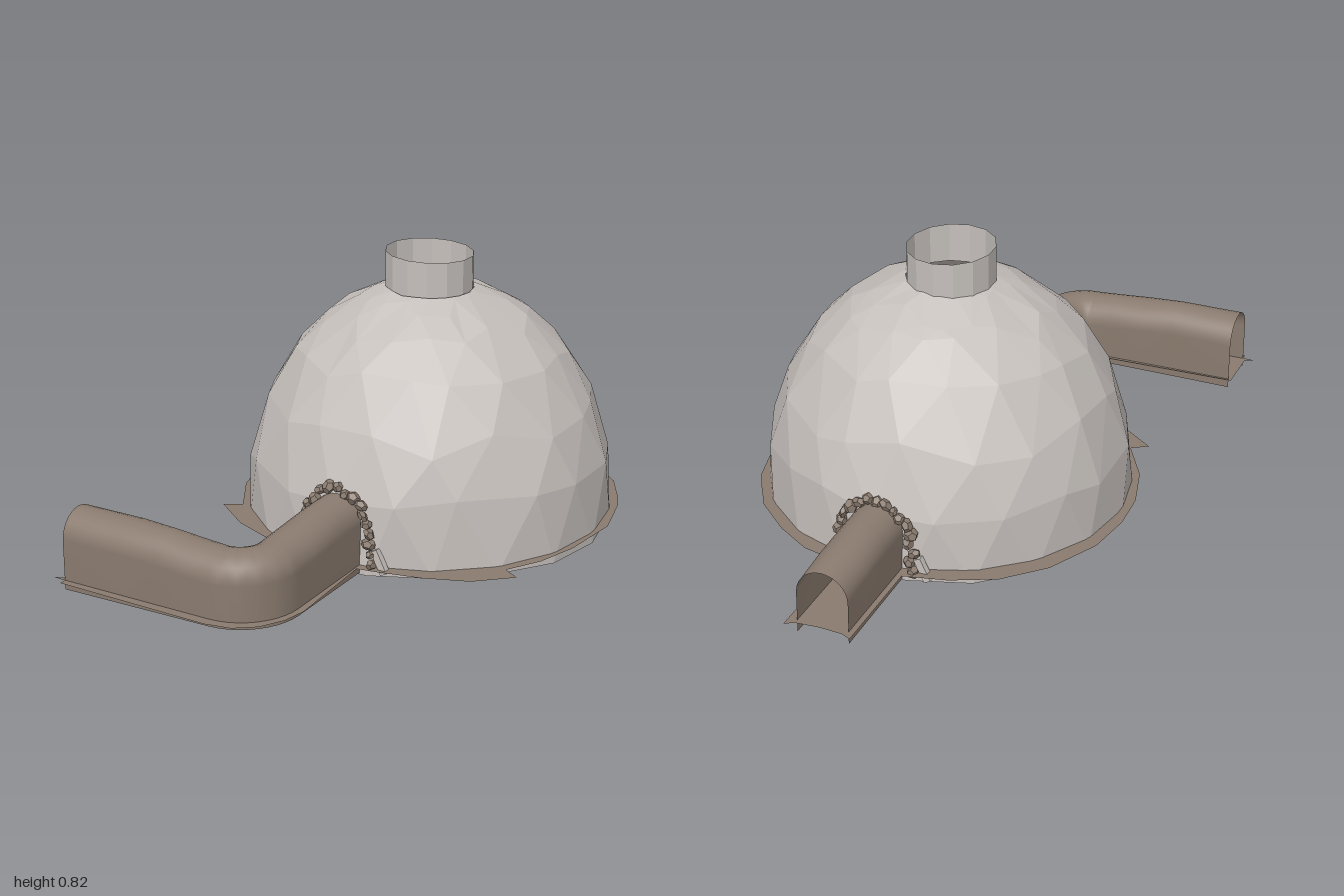
import * as THREE from 'three';

const CX = 0.03, CZ = -0.08;
const stone = new THREE.MeshStandardMaterial({ color: 0xc6c0bc, side: THREE.DoubleSide });
stone.name = 'pale stone';
const earth = new THREE.MeshStandardMaterial({ color: 0x8a7b6f, side: THREE.DoubleSide });
earth.name = 'brown earth';

// Seeded noise in -1..1
let seed = 7;
const rnd = () => {
  seed = (seed * 16807) % 2147483647;
  return (seed / 2147483647) * 2 - 1;
};

function add(group, name, geometry, material) {
  const mesh = new THREE.Mesh(geometry, material);
  mesh.name = name;
  group.add(mesh);
  return mesh;
}

// Joins equal-length rows of points into a surface
function skin(rows, closed, flat) {
  const n = rows[0].length, index = [];
  for (let i = 0; i < rows.length - 1; i++) {
    for (let j = 0; j < (closed ? n : n - 1); j++) {
      const k = (j + 1) % n;
      const a = i * n + j, b = i * n + k, c = a + n, d = b + n;
      if (i % 2) index.push(a, c, d, a, d, b);
      else index.push(a, c, b, b, c, d);
    }
  }
  let g = new THREE.BufferGeometry();
  g.setAttribute('position', new THREE.Float32BufferAttribute(rows.flat(2), 3));
  g.setIndex(index);
  if (flat) g = g.toNonIndexed();
  g.computeVertexNormals();
  return g;
}

// Dome profile: [radius, height]
const profile = [[0.55, 0.012], [0.542, 0.22], [0.49, 0.385], [0.405, 0.53], [0.295, 0.635], [0.2, 0.69], [0.13, 0.716]];

function domeRadius(y) {
  for (let i = 0; i < profile.length - 1; i++) {
    const [r0, y0] = profile[i], [r1, y1] = profile[i + 1];
    if (y <= y1) return r0 + (r1 - r0) * Math.max(0, (y - y0) / (y1 - y0));
  }
  return 0.13;
}

function domeGeometry() {
  const n = 18, step = (Math.PI * 2) / n;
  const rows = profile.map(([r, y], i) => {
    const edge = i === 0 || i === profile.length - 1;
    return Array.from({ length: n }, (_, j) => {
      const a = -(j + (i % 2) * 0.5 + (edge ? 0 : rnd() * 0.25)) * step;
      const h = y + rnd() * (i === 0 ? 0.008 : edge ? 0.003 : 0.028);
      const rad = edge ? r : domeRadius(h) * (1 + rnd() * 0.01);
      return [CX + Math.cos(a) * rad, h, CZ + Math.sin(a) * rad];
    });
  });
  return skin(rows, true, true);
}

// Arched tunnel swept along stations [x, z, directionAngle, topHeight]
function tunnelGeometry(stations) {
  const w = 0.078, rows = stations.map(([x, z, a, top]) => {
    const section = [[-w, 0.015]];
    for (let i = 0; i <= 14; i++) {
      const t = Math.PI * (1 - i / 14);
      section.push([Math.cos(t) * w, top - w + Math.sin(t) * w]);
    }
    section.push([w, 0.015]);
    return section.map(([s, y]) => [x + s * Math.cos(a), y, z - s * Math.sin(a)]);
  });
  return skin(rows, false, false);
}

function frontTunnel() {
  const s = [[0.025, 0.43, 0, 0.24], [0.025, 0.55, 0, 0.238], [0.025, 0.7, 0, 0.228]];
  for (let i = 0; i <= 10; i++) {
    const a = -(Math.PI / 2) * (i / 10);
    s.push([-0.075 + 0.1 * Math.cos(a), 0.79 - 0.1 * Math.sin(a), a, 0.222 - 0.003 * (i / 10)]);
  }
  for (const [x, top] of [[-0.15, 0.225], [-0.25, 0.234], [-0.36, 0.241], [-0.56, 0.242]]) s.push([x, 0.89, -Math.PI / 2, top]);
  return tunnelGeometry(s);
}

// Thin ground sheet under dome and tunnels
function groundGeometry() {
  const pts = [
    [-0.07, -1], [-0.04, -0.985], [0.03, -0.98], [0.1, -0.985], [0.13, -1], [0.13, -0.66],
    [0.25, -0.63], [0.36, -0.56], [0.47, -0.46], [0.53, -0.36], [0.56, -0.3], [0.6, -0.14], [0.58, 0.05],
    [0.54, 0.18], [0.48, 0.28], [0.53, 0.31], [0.43, 0.4], [0.3, 0.45], [0.17, 0.48], [0.11, 0.49],
    [0.125, 0.8], [0.11, 0.87], [0.07, 0.94], [0.01, 0.985], [-0.07, 1], [-0.56, 0.99], [-0.56, 0.97],
    [-0.6, 0.967], [-0.57, 0.955], [-0.57, 0.805], [-0.08, 0.8], [-0.062, 0.78], [-0.062, 0.48],
    [-0.2, 0.45], [-0.35, 0.39], [-0.47, 0.3], [-0.42, 0.27], [-0.5, 0.13], [-0.54, -0.02], [-0.545, -0.15],
    [-0.52, -0.3], [-0.44, -0.46], [-0.33, -0.57], [-0.2, -0.63], [-0.07, -0.66],
  ];
  const g = new THREE.ShapeGeometry(new THREE.Shape(pts.map(([x, z]) => new THREE.Vector2(x, -z))));
  g.rotateX(-Math.PI / 2);
  const p = g.attributes.position;
  for (let i = 0; i < p.count; i++) p.setY(i, 0.045 - 0.009 * p.getZ(i) - 0.012 * p.getX(i));
  g.computeVertexNormals();
  return g;
}

function rock(group, name, x, y, z, size, material) {
  const m = add(group, name, new THREE.DodecahedronGeometry(size, 0), material);
  m.position.set(x, y, z);
  m.scale.set(1 + rnd() * 0.25, 1 + rnd() * 0.3, 0.85 + rnd() * 0.2);
  m.rotation.set(rnd() * 3, rnd() * 3, rnd() * 3);
}

export function createModel() {
  const model = new THREE.Group();
  model.name = 'domeHut';

  add(model, 'dome', domeGeometry(), stone);

  // Open smoke vent with a slightly slanted rim
  const vent = new THREE.CylinderGeometry(0.132, 0.132, 0.12, 14, 1, true).toNonIndexed();
  vent.translate(0.023, 0.762, -0.088);
  const vp = vent.attributes.position;
  for (let i = 0; i < vp.count; i++) {
    if (vp.getY(i) > 0.8) vp.setY(i, 0.819 - 0.035 * (vp.getX(i) - 0.023) + 0.03 * (vp.getZ(i) + 0.088));
  }
  vent.computeVertexNormals();
  add(model, 'smokeVent', vent, stone);

  // Floor and hearth slab beneath it
  add(model, 'ground', groundGeometry(), earth);
  const slab = add(model, 'hearthSlab', new THREE.CylinderGeometry(0.235, 0.235, 0.027, 32), stone);
  slab.position.set(CX, 0.025, CZ);

  // Entrance tunnels
  add(model, 'frontTunnel', frontTunnel(), earth);
  add(model, 'backTunnel', tunnelGeometry([[0.025, -0.97, 0, 0.224], [0.025, -0.85, 0, 0.235], [0.025, -0.72, 0, 0.24], [0.025, -0.57, 0, 0.24]].reverse().map(([x, z, a, t]) => [x, z, Math.PI, t])), earth);

  // Stones ringing each doorway
  for (const side of [1, -1]) {
    const ring = new THREE.Group();
    ring.name = side > 0 ? 'frontDoorStones' : 'backDoorStones';
    model.add(ring);
    const place = (x, y, size, mat) => rock(ring, 'doorStone', x, y, CZ + side * (domeRadius(y) - 0.003), size, mat);
    for (let i = 0; i <= 12; i++) {
      const a = (Math.PI * i) / 12, r = 0.108 + rnd() * 0.01;
      place(0.025 + Math.cos(a) * r, 0.142 + Math.sin(a) * r, 0.019 + rnd() * 0.003, earth);
    }
    for (const s of [-1, 1]) {
      for (const y of [0.11, 0.08, 0.05]) place(0.025 + s * (0.112 + rnd() * 0.01), y, 0.018, earth);
      const prop = add(ring, 'leaningStone', new THREE.BoxGeometry(0.022, 0.075, 0.02), stone);
      prop.position.set(0.025 + s * 0.142, 0.06, CZ + side * 0.535);
      prop.rotation.z = s * 0.45;
    }
  }

  // Small heap of stones and sticks on the hearth
  const hearth = new THREE.Group();
  hearth.name = 'hearth';
  model.add(hearth);
  rock(hearth, 'hearthStone', 0.03, 0.075, -0.09, 0.045, stone);
  rock(hearth, 'hearthStone', 0.04, 0.07, -0.045, 0.025, stone);
  for (let i = 0; i < 4; i++) {
    const stick = add(hearth, 'stick', new THREE.CylinderGeometry(0.01, 0.012, 0.12, 6), stone);
    stick.position.set(0.085 - i * 0.015, 0.09, -0.09 - i * 0.018);
    stick.rotation.set(0.3, i * 0.4, 1.2);
  }
  return model;
}
